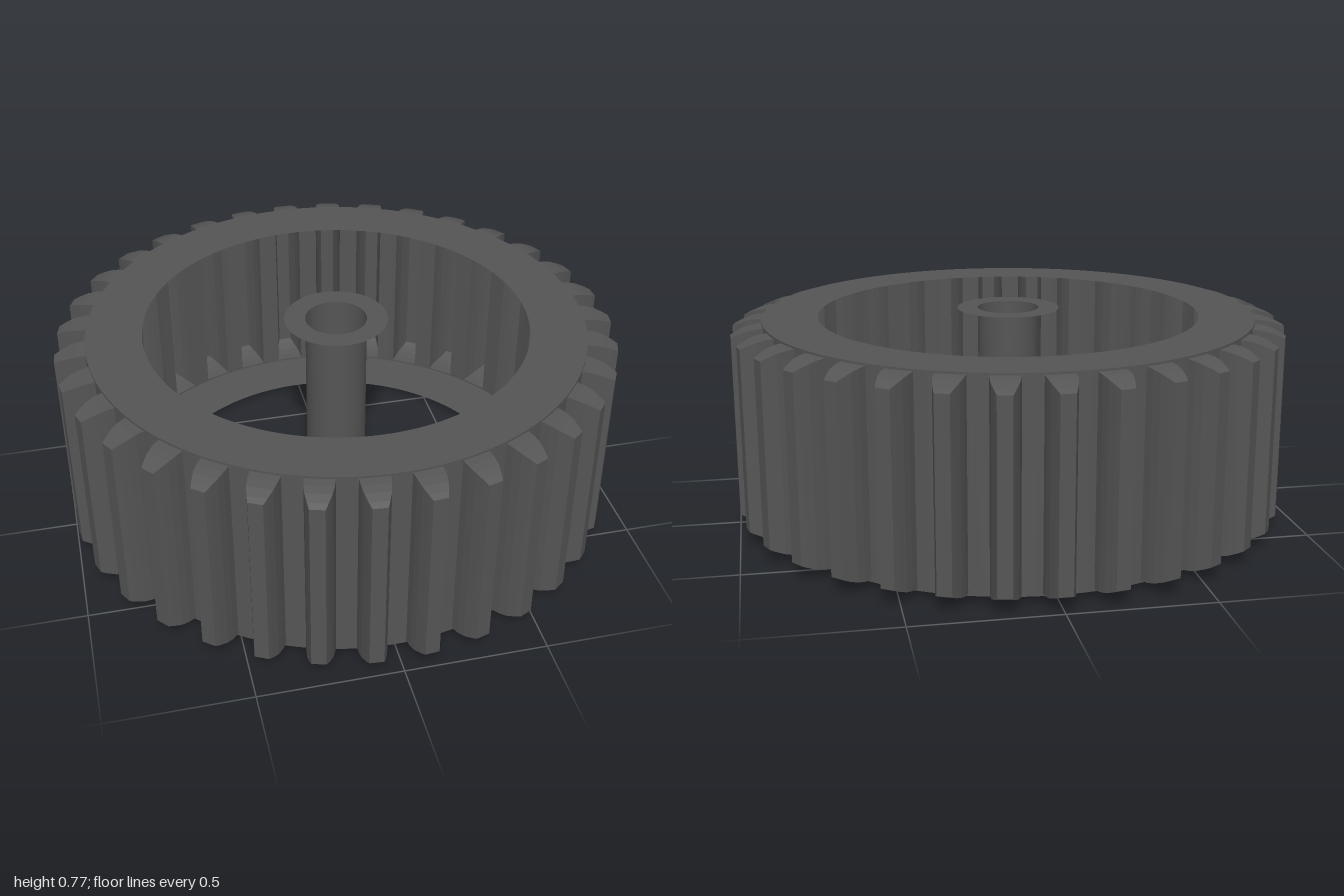
import * as THREE from 'three';

const TEETH = 33;
const PITCH = (Math.PI * 2) / TEETH;
const MID = 0.385; // mid height of the wheel
// Tooth cross-sections from root to tip: radius, half width, half height
const SECTIONS = [
  [0.89, 0.05, 0.36],
  [0.92, 0.048, 0.357],
  [0.95, 0.043, 0.35],
  [0.98, 0.033, 0.338],
  [1.0, 0.025, 0.328],
];

const dark = new THREE.MeshStandardMaterial({ color: 0x555555, side: THREE.DoubleSide });

function addMesh(parent, name, geometry, y = 0) {
  const mesh = new THREE.Mesh(geometry, dark);
  mesh.name = name;
  mesh.position.y = y;
  parent.add(mesh);
}

// Flat ring facing up or down
function annulus(inner, outer, up) {
  return new THREE.RingGeometry(inner, outer, TEETH * 4).rotateX(up ? -Math.PI / 2 : Math.PI / 2);
}

// Toothed outer wall, each tooth tapering to its tip with sloped ends
function toothedWall() {
  const verts = [];
  const point = ({ a, r, h }, side) => [r * Math.sin(a), MID + side * h, -r * Math.cos(a)];
  const quad = (a, b, c, d) => verts.push(...a, ...b, ...c, ...a, ...c, ...d);

  for (let t = 0; t < TEETH; t++) {
    const centre = t * PITCH;
    const flank = (s) => SECTIONS.map(([r, w, h]) => ({ a: centre + (s * w) / r, r, h }));
    const A = flank(-1);
    const B = flank(1);

    // Flank, tip, flank, then the root up to the next tooth
    const outline = [...A, ...B.slice().reverse()];
    const rootAngle = PITCH - (2 * SECTIONS[0][1]) / SECTIONS[0][0];
    for (let k = 1; k <= 3; k++) outline.push({ ...B[0], a: B[0].a + (rootAngle * k) / 3 });
    for (let i = 0; i < outline.length - 1; i++) {
      const p = outline[i], q = outline[i + 1];
      quad(point(p, -1), point(p, 1), point(q, 1), point(q, -1));
    }

    // Top and bottom ends of the tooth
    for (let i = 0; i < SECTIONS.length - 1; i++) {
      quad(point(A[i], 1), point(B[i], 1), point(B[i + 1], 1), point(A[i + 1], 1));
      quad(point(A[i + 1], -1), point(B[i + 1], -1), point(B[i], -1), point(A[i], -1));
    }
  }
  const geometry = new THREE.BufferGeometry();
  geometry.setAttribute('position', new THREE.Float32BufferAttribute(verts, 3));
  geometry.computeVertexNormals();
  return geometry;
}

export function createModel() {
  const model = new THREE.Group();
  model.name = 'gearWheel';

  // Rim: toothed wall, thin collars above and below the teeth, flat side rings
  const rim = new THREE.Group();
  rim.name = 'rim';
  model.add(rim);
  addMesh(rim, 'toothedWall', toothedWall());
  for (const s of [-1, 1]) {
    const end = s > 0 ? 'top' : 'bottom';
    addMesh(rim, end + 'Collar', new THREE.CylinderGeometry(0.89, 0.89, 0.008, TEETH * 4, 1, true), MID + s * 0.364);
    addMesh(rim, end + 'Ring', annulus(0.69, 0.89, s > 0), MID + s * 0.368);
  }

  // Hub: open tube with a flat flange at each end
  const hub = new THREE.Group();
  hub.name = 'hub';
  model.add(hub);
  addMesh(hub, 'boreTube', new THREE.CylinderGeometry(0.11, 0.11, 0.77, 64, 1, true), MID);
  for (const s of [-1, 1]) {
    addMesh(hub, s > 0 ? 'topFlange' : 'bottomFlange', annulus(0.11, 0.185, s > 0), MID + s * 0.385);
  }
  return model;
}
